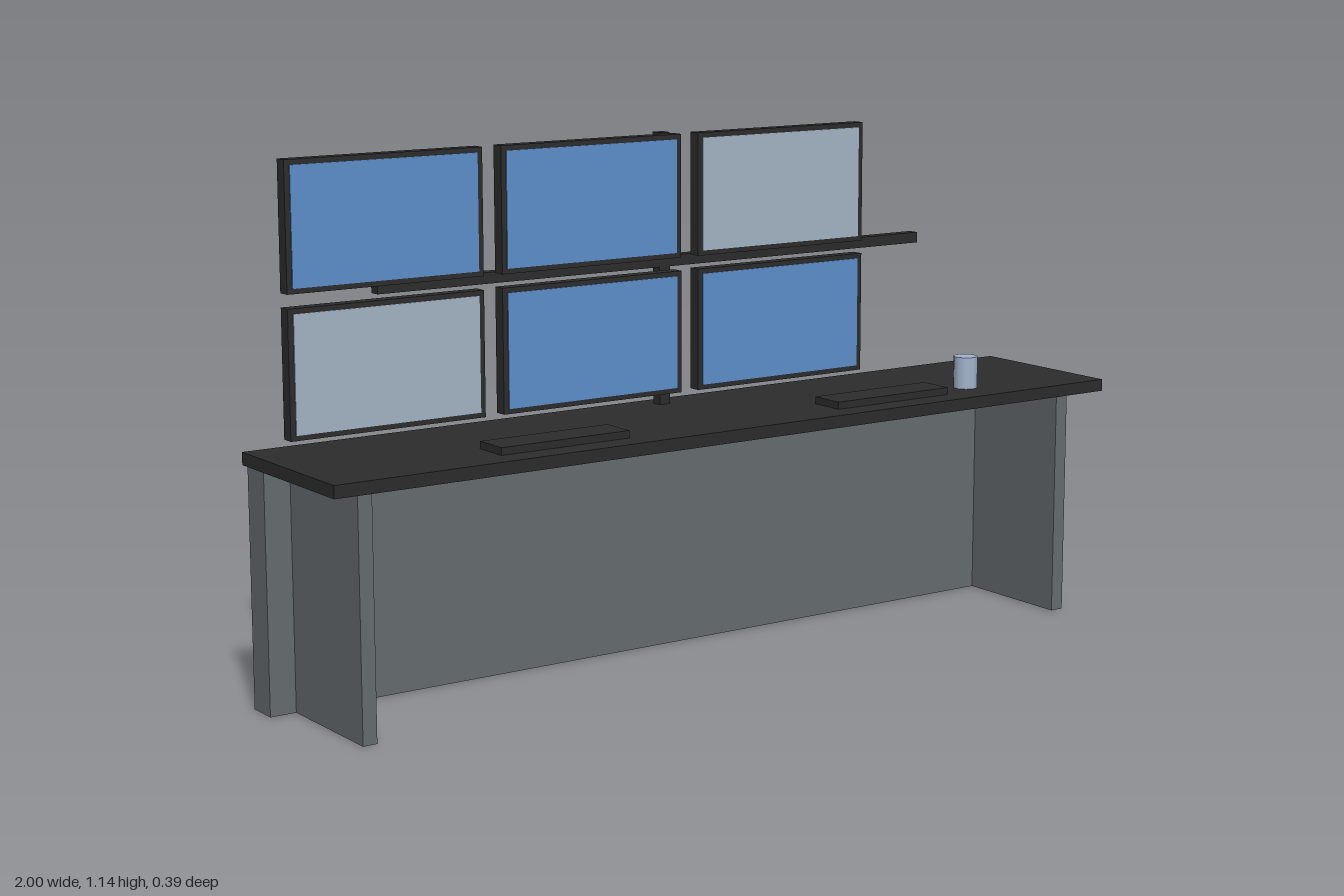
import * as THREE from 'three';

const material = (name, color) => {
  const m = new THREE.MeshStandardMaterial({ color });
  m.name = name;
  return m;
};

export function createModel() {
  const model = new THREE.Group();
  model.name = 'controlDesk';
  const dark = material('darkPlastic', 0x2c2c2c);
  const grey = material('greyPanel', 0x656b6f);
  const blue = material('blueScreen', 0x5c8fcb);
  const pale = material('paleScreen', 0xa4b5c6);
  const ceramic = material('paleMug', 0xa3b5cd);

  // Box given by its lower and upper corners
  const box = (name, mat, [x0, y0, z0], [x1, y1, z1], parent = model) => {
    const mesh = new THREE.Mesh(new THREE.BoxGeometry(x1 - x0, y1 - y0, z1 - z0), mat);
    mesh.position.set((x0 + x1) / 2, (y0 + y1) / 2, (z0 + z1) / 2);
    mesh.name = name;
    parent.add(mesh);
    return mesh;
  };

  // Desk
  const top = 0.543;
  box('deskTop', dark, [-1, 0.516, -0.196], [1, top, 0.196]);
  box('backPanel', grey, [-0.989, 0, -0.195], [0.984, 0.516, -0.124]);
  box('rightLeg', grey, [-0.93, 0, -0.124], [-0.898, 0.516, 0.16]);
  box('leftLeg', grey, [0.892, 0, -0.124], [0.924, 0.516, 0.16]);

  // Monitor stand: post and crossbar
  box('standPost', dark, [-0.016, top, -0.158], [0.011, 1.143, -0.132]);
  box('standCrossbar', dark, [-0.716, 0.849, -0.158], [0.711, 0.873, -0.132]);

  // Two rows of three monitors, each with a thin screen plate
  const rows = [
    { y: 0.575, screens: [pale, blue, blue] },
    { y: 0.873, screens: [blue, blue, pale] },
  ];
  for (const { y, screens } of rows) {
    screens.forEach((screen, i) => {
      const x = -0.944 + i * 0.5;
      const monitor = new THREE.Group();
      monitor.name = 'monitor';
      box('monitorCase', dark, [x, y, -0.117], [x + 0.455, y + 0.269, -0.088], monitor);
      box('monitorScreen', screen, [x + 0.012, y + 0.011, -0.089], [x + 0.443, y + 0.258, -0.086], monitor);
      model.add(monitor);
    });
  }

  // Keyboards
  for (const x of [-0.589, 0.272]) {
    box('keyboard', dark, [x, top, 0.055], [x + 0.311, 0.559, 0.138]);
  }

  // Mug
  const mug = new THREE.Mesh(new THREE.CylinderGeometry(0.028, 0.028, 0.072, 10), ceramic);
  mug.name = 'mug';
  mug.position.set(0.675, top + 0.036, 0.09);
  model.add(mug);

  return model;
}
